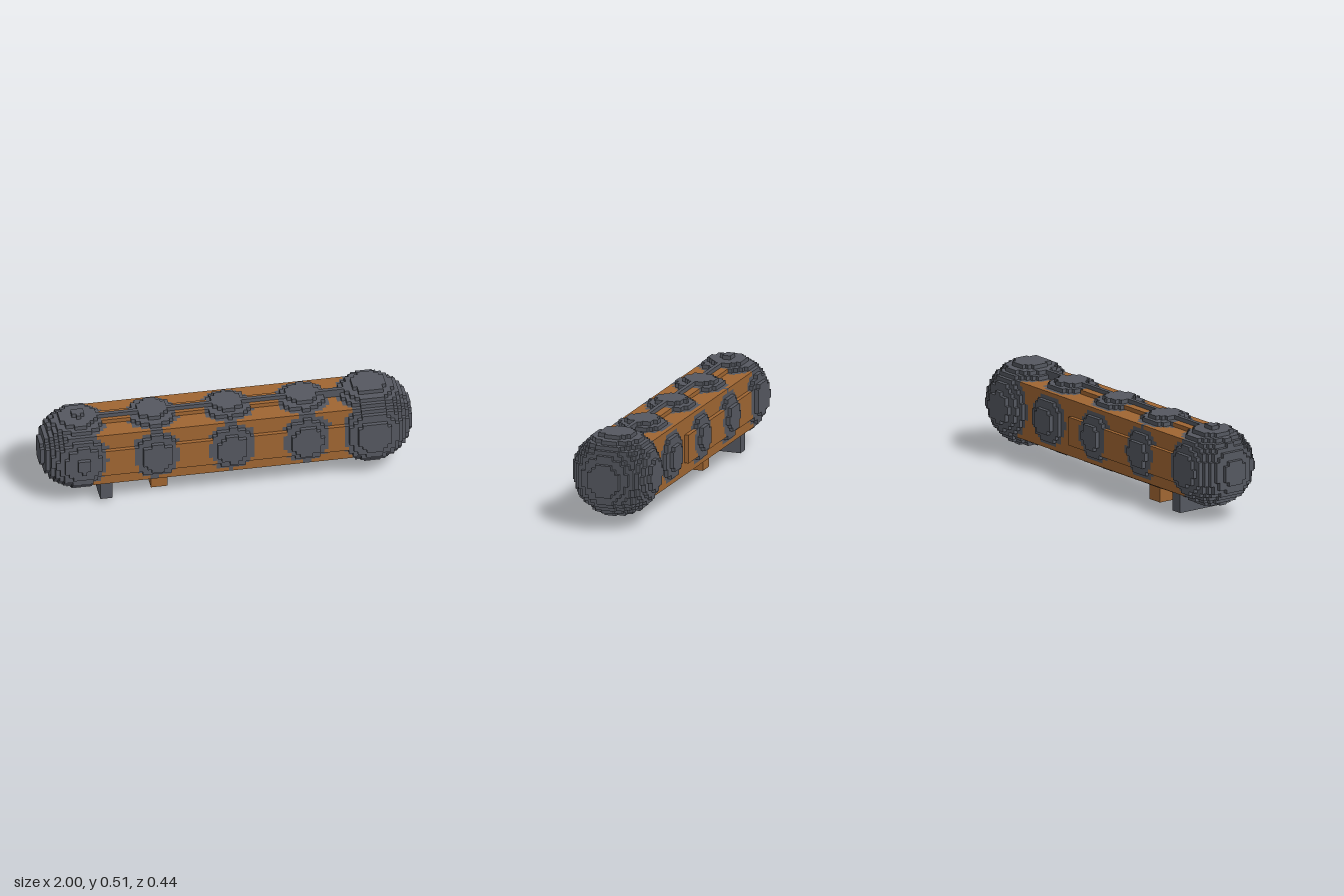
import * as THREE from 'three';

// Everything is made of small cubes on a shared grid
const S = 2 / 90;

const iron = new THREE.MeshStandardMaterial({ color: 0x555860 });
iron.name = 'dark iron';
const wood = new THREE.MeshStandardMaterial({ color: 0xa06632 });
wood.name = 'orange brown';

// A ball of cubes; centre and radius in model units
function ball(name, cx, r) {
  const cy = 0.291, cz = 0.003;
  return {
    name, material: iron,
    boxes: [[Math.floor((cx - r) / S) - 1, Math.ceil((cx + r) / S) + 1, 1, 25, -12, 12]],
    inside: (x, y, z) =>
      Math.hypot((x + 0.5) * S - cx, (y + 0.5) * S - cy, (z + 0.5) * S - cz) < r,
  };
}

// Blocks given in grid steps as [x0, x1, y0, y1, z0, z1]
function blocks(name, material, boxes) {
  return { name, material, boxes, inside: () => true };
}

// Earlier parts win where parts overlap
const parts = [
  ball('leftEndBall', 0.778, 0.229),
  ball('rightEndBall', -0.79, 0.212),
  ball('rightKnot', -0.39, 0.205),
  ball('middleKnot', 0.015, 0.204),
  ball('leftKnot', 0.418, 0.205),
  blocks('topRidge', iron, [[-36, 35, 20, 22, 0, 1]]),
  blocks('beam', wood, [
    [-36, 35, 6, 20, -7, 7],
    [-36, 35, 9, 16, 7, 8],   // front band
    [-36, 10, 9, 16, -8, -7], // back band
    [-36, 13, 20, 21, -2, 2], // top band
    [-36, 8, 5, 6, -5, 5],    // underside band
  ]),
  blocks('crossFoot', iron, [[-31, -28, 1, 6, -6, 6]]),
  blocks('peg', wood, [[-18, -14, 0, 6, -2, 2]]),
];

const key = (x, y, z) => (x + 64) + (y + 8) * 128 + (z + 64) * 128 * 64;

// Turn the exposed cube sides of one part into a geometry
function skin(cells, filled) {
  const pos = [], nor = [], idx = [];
  for (const c of cells) {
    for (let a = 0; a < 3; a++) {
      for (const d of [-1, 1]) {
        const n = [0, 0, 0];
        n[a] = d;
        if (filled.has(key(c[0] + n[0], c[1] + n[1], c[2] + n[2]))) continue;
        const u = (a + 1) % 3, v = (a + 2) % 3, base = pos.length / 3;
        for (const [i, j] of [[0, 0], [1, 0], [1, 1], [0, 1]]) {
          const p = [...c];
          if (d > 0) p[a] += 1;
          p[u] += i;
          p[v] += j;
          pos.push(p[0] * S, p[1] * S, p[2] * S);
          nor.push(...n);
        }
        const order = d > 0 ? [0, 1, 2, 0, 2, 3] : [0, 2, 1, 0, 3, 2];
        idx.push(...order.map((k) => base + k));
      }
    }
  }
  const g = new THREE.BufferGeometry();
  g.setAttribute('position', new THREE.Float32BufferAttribute(pos, 3));
  g.setAttribute('normal', new THREE.Float32BufferAttribute(nor, 3));
  g.setIndex(idx);
  return g;
}

export function createModel() {
  const model = new THREE.Group();
  model.name = 'knottedBeam';
  const filled = new Set();
  const cellLists = parts.map((part) => {
    const cells = [];
    for (const [x0, x1, y0, y1, z0, z1] of part.boxes)
      for (let x = x0; x < x1; x++)
        for (let y = y0; y < y1; y++)
          for (let z = z0; z < z1; z++) {
            const k = key(x, y, z);
            if (filled.has(k) || !part.inside(x, y, z)) continue;
            filled.add(k);
            cells.push([x, y, z]);
          }
    return cells;
  });
  parts.forEach((part, i) => {
    const mesh = new THREE.Mesh(skin(cellLists[i], filled), part.material);
    mesh.name = part.name;
    model.add(mesh);
  });
  return model;
}
